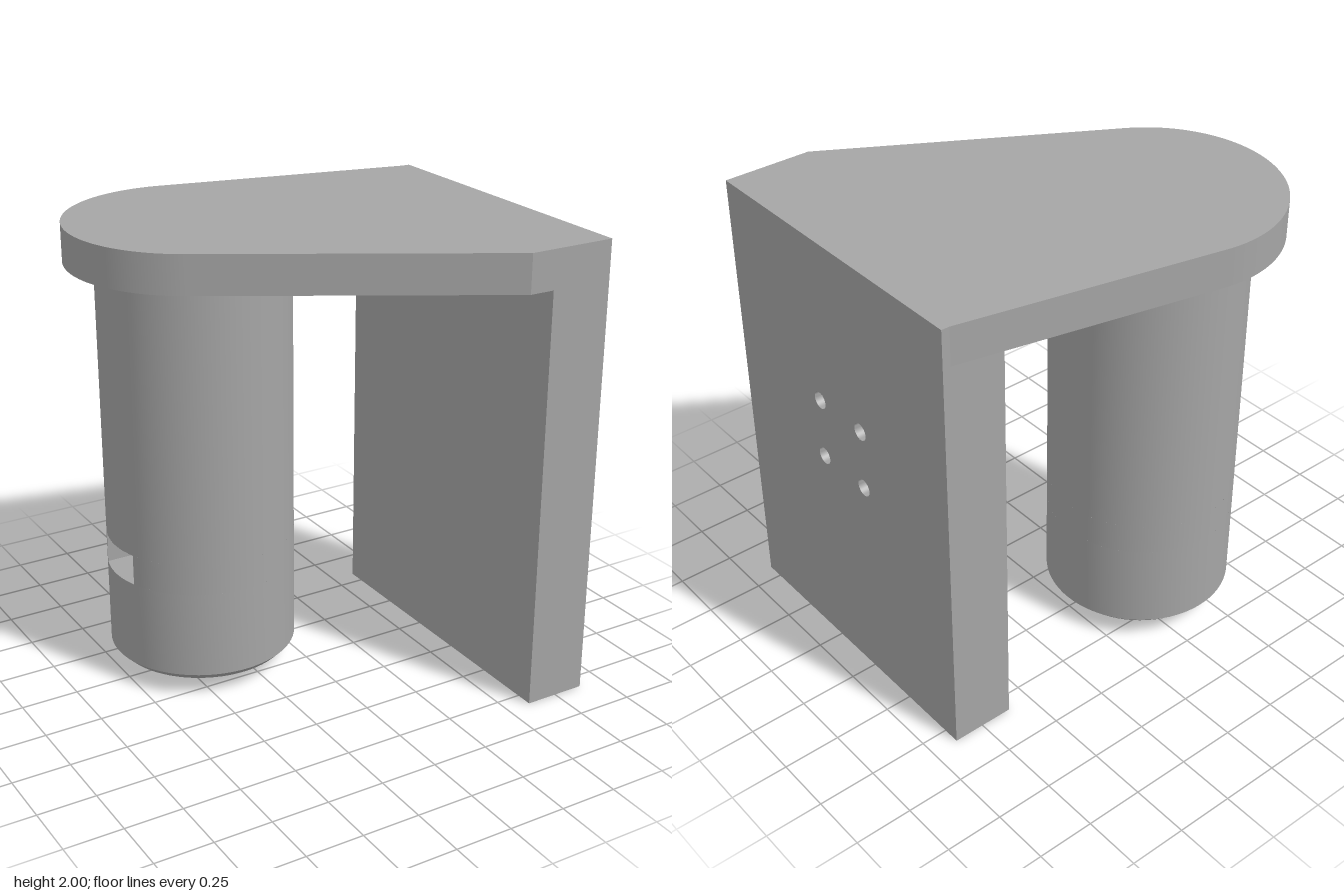
import * as THREE from 'three';
import { toCreasedNormals } from 'three/addons/utils/BufferGeometryUtils.js';

const grey = new THREE.MeshStandardMaterial({ color: 0xa5a5a5, side: THREE.DoubleSide });
grey.name = 'plain grey';

function add(parent, name, geometry, x = 0, y = 0, z = 0) {
  const mesh = new THREE.Mesh(geometry, grey);
  mesh.name = name;
  mesh.position.set(x, y, z);
  parent.add(mesh);
  return mesh;
}

function circleHole(shape, x, y, r) {
  const hole = new THREE.Path();
  hole.absarc(x, y, r, 0, Math.PI * 2, true);
  shape.holes.push(hole);
}

function rectangle(x0, y0, x1, y1) {
  return new THREE.Shape([[x0, y0], [x1, y0], [x1, y1], [x0, y1]].map(p => new THREE.Vector2(...p)));
}

// Blind bore: open at local y = 0, running up to y = depth
function bore(r, depth) {
  return toCreasedNormals(new THREE.LatheGeometry(
    [new THREE.Vector2(0, depth), new THREE.Vector2(r, depth), new THREE.Vector2(r, 0)], 32), 0.5);
}

// Main dimensions
const PLATE_Y = 1.835, TOP = 2;
const CX = -0.362, CZ = -0.293;
const X0 = 0.61, X1 = 0.885, Z0 = -0.575, Z1 = 0.825;

// Top plate: a round end joined by tangents to the wall
function buildPlate(group) {
  const R = 0.53, c = new THREE.Vector2(CX, -CZ);
  const tangent = (p, side) => {
    const d = p.clone().sub(c);
    return d.angle() + side * Math.acos(R / d.length());
  };
  const back = new THREE.Vector2(0.85, -Z0), front = new THREE.Vector2(0.5, -Z1);
  const shape = new THREE.Shape();
  shape.moveTo(X1, -Z1);
  shape.lineTo(X1, -Z0);
  shape.lineTo(back.x, back.y);
  shape.absarc(c.x, c.y, R, tangent(back, 1) % (Math.PI * 2), tangent(front, -1), false);
  shape.lineTo(front.x, front.y);
  const geo = new THREE.ExtrudeGeometry(shape, { depth: TOP - PLATE_Y, bevelEnabled: false, curveSegments: 64 });
  geo.rotateX(-Math.PI / 2);
  add(group, 'topPlate', toCreasedNormals(geo, 0.15), 0, PLATE_Y, 0);
}

// Mounting wall with four side holes and two bottom holes
function buildWall(group) {
  const wall = new THREE.Group();
  wall.name = 'mountingWall';
  group.add(wall);
  const midX = (X0 + X1) / 2, midZ = (Z0 + Z1) / 2;

  const outer = rectangle(-Z1, 0, -Z0, PLATE_Y);
  for (const z of [0.26, -0.015]) for (const y of [0.975, 1.25]) {
    circleHole(outer, -z, y, 0.038);
    add(wall, 'sideHole', bore(0.038, 0.2), X1, y, z).rotation.z = Math.PI / 2;
  }
  add(wall, 'outerFace', new THREE.ShapeGeometry(outer, 24).rotateY(Math.PI / 2), X1);

  const bottom = rectangle(X0, Z0, X1, Z1);
  for (const z of [0.54, -0.29]) {
    circleHole(bottom, midX, z, 0.043);
    add(wall, 'bottomHole', bore(0.043, 0.35), midX, 0, z);
  }
  add(wall, 'bottomFace', new THREE.ShapeGeometry(bottom, 24).rotateX(Math.PI / 2));

  add(wall, 'innerFace', new THREE.PlaneGeometry(Z1 - Z0, PLATE_Y).rotateY(-Math.PI / 2), X0, PLATE_Y / 2, midZ);
  add(wall, 'frontFace', new THREE.PlaneGeometry(X1 - X0, PLATE_Y), midX, PLATE_Y / 2, Z1);
  add(wall, 'backFace', new THREE.PlaneGeometry(X1 - X0, PLATE_Y).rotateY(Math.PI), midX, PLATE_Y / 2, Z0);
}

// Hanging post with chamfered foot, centre bore and a nut slot on its -x side
function buildPost(group) {
  const post = new THREE.Group();
  post.name = 'post';
  post.position.set(CX, 0, CZ);
  group.add(post);
  const R = 0.407, B = 0.075, FOOT = 0.075, S0 = 0.49, S1 = 0.625, W = 0.128;
  const gap = Math.asin(W / R), height = S1 - S0, midY = (S0 + S1) / 2;

  const profile = [[B, S0], [B, FOOT], [0.375, FOOT], [R, FOOT + 0.032], [R, S0]];
  add(post, 'postFoot', toCreasedNormals(
    new THREE.LatheGeometry(profile.map(p => new THREE.Vector2(...p)), 72), 0.4));
  add(post, 'postMiddle', new THREE.CylinderGeometry(R, R, height, 72, 1, true,
    -Math.PI / 2 + gap, Math.PI * 2 - 2 * gap), 0, midY, 0);
  add(post, 'postUpper', new THREE.CylinderGeometry(R, R, PLATE_Y - S1, 72, 1, true), 0, (S1 + PLATE_Y) / 2, 0);

  // Slot floor and ceiling, ending in a half hexagon
  const hexSide = W * Math.tan(Math.PI / 6), hexTip = W / Math.cos(Math.PI / 6);
  const mouth = -R * Math.cos(gap);
  const outline = [[mouth, -W], [hexSide, -W], [hexTip, 0], [hexSide, W], [mouth, W]];
  const slot = new THREE.Shape();
  slot.absarc(0, 0, R, Math.PI - gap, Math.PI + gap, false);
  outline.slice(1, 4).forEach(p => slot.lineTo(...p));
  circleHole(slot, 0, 0, B);
  const flat = new THREE.ShapeGeometry(slot, 24);
  add(post, 'slotFloor', flat.clone().rotateX(-Math.PI / 2), 0, S0, 0);
  add(post, 'slotCeiling', flat.clone().rotateX(Math.PI / 2), 0, S1, 0);

  // Slot side walls
  for (let i = 0; i < outline.length - 1; i++) {
    const [ax, az] = outline[i], [bx, bz] = outline[i + 1];
    const side = add(post, 'slotWall', new THREE.PlaneGeometry(Math.hypot(bx - ax, bz - az), height),
      (ax + bx) / 2, midY, (az + bz) / 2);
    side.rotation.y = -Math.atan2(bz - az, bx - ax);
  }
  add(post, 'upperBore', bore(B, 0.3), 0, S1, 0);
}

export function createModel() {
  const group = new THREE.Group();
  group.name = 'bracketWithPost';
  buildPlate(group);
  buildWall(group);
  buildPost(group);
  return group;
}
